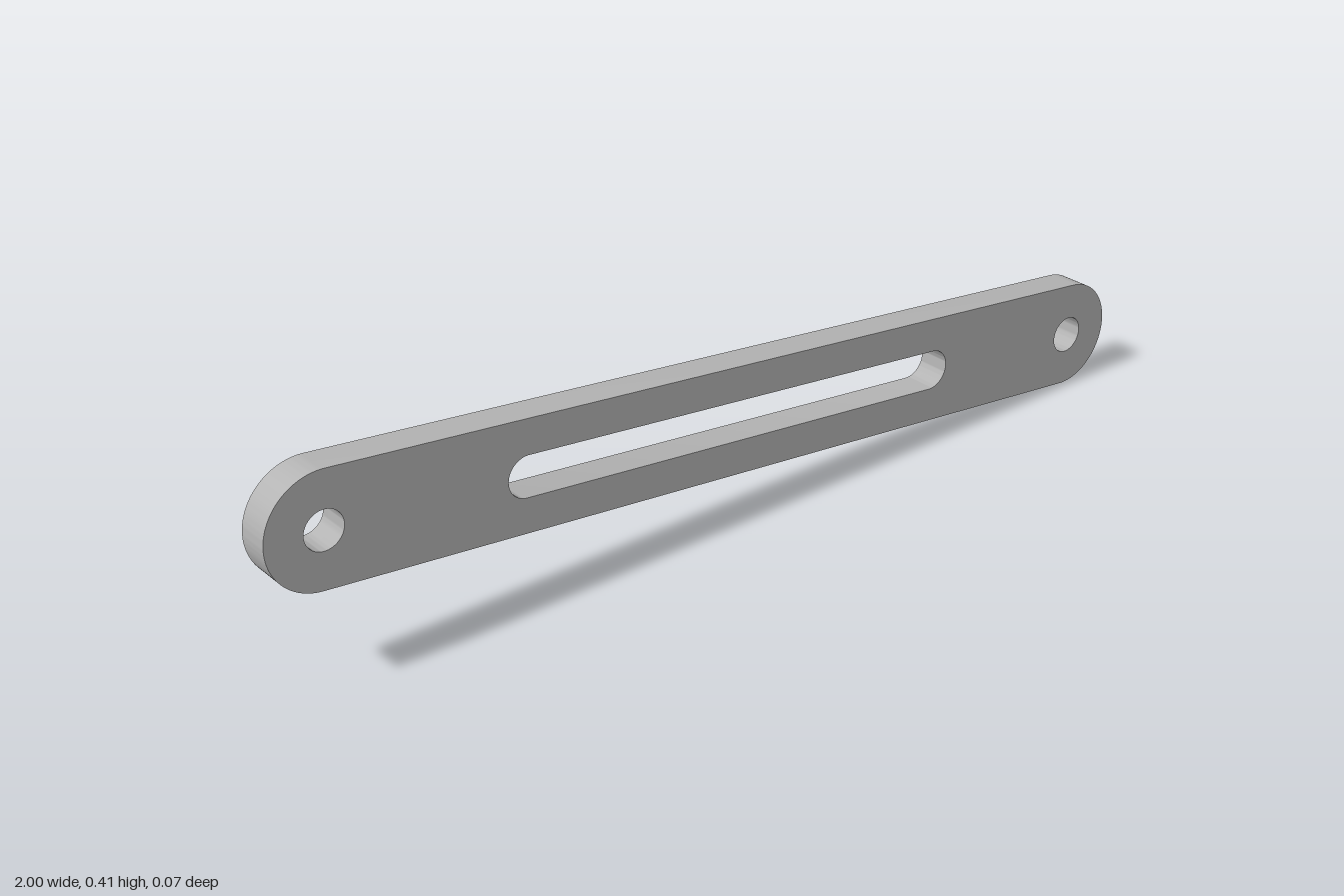
import * as THREE from 'three';
import { toCreasedNormals } from 'three/addons/utils/BufferGeometryUtils.js';

const RADIUS = 0.111;       // rounded bar ends
const RISE = 0.188;         // height difference between the two pivots
const SPAN = 2 - 2 * RADIUS; // horizontal distance between the pivots
const THICKNESS = 0.067;
const TILT = -Math.atan2(RISE, SPAN);
const HALF = Math.hypot(SPAN, RISE) / 2;

// Capsule outline lying along x
function capsule(path, half, r) {
  path.moveTo(-half, -r);
  path.lineTo(half, -r);
  path.absarc(half, 0, r, -Math.PI / 2, Math.PI / 2, false);
  path.lineTo(-half, r);
  path.absarc(-half, 0, r, Math.PI / 2, Math.PI * 1.5, false);
  return path;
}

export function createModel() {
  const group = new THREE.Group();
  group.name = 'slottedLink';

  const grey = new THREE.MeshStandardMaterial({ color: 0xb4b4b4 });
  grey.name = 'grey metal';

  // Bar outline with the long central slot
  const outline = capsule(new THREE.Shape(), HALF, RADIUS);
  outline.holes.push(capsule(new THREE.Path(), 0.491, 0.041));

  // Pivot hole at each end
  for (const side of [-1, 1]) {
    outline.holes.push(new THREE.Path().absarc(side * HALF, 0, 0.038, 0, Math.PI * 2, true));
  }

  const extruded = new THREE.ExtrudeGeometry(outline, {
    depth: THICKNESS, bevelEnabled: false, curveSegments: 32,
  });
  extruded.translate(0, 0, -THICKNESS / 2);

  // Tilted bar, its low end resting on the ground
  const bar = new THREE.Mesh(toCreasedNormals(extruded, Math.PI / 6), grey);
  bar.name = 'linkBar';
  bar.rotation.z = TILT;
  bar.position.y = RADIUS + RISE / 2;
  group.add(bar);

  return group;
}
